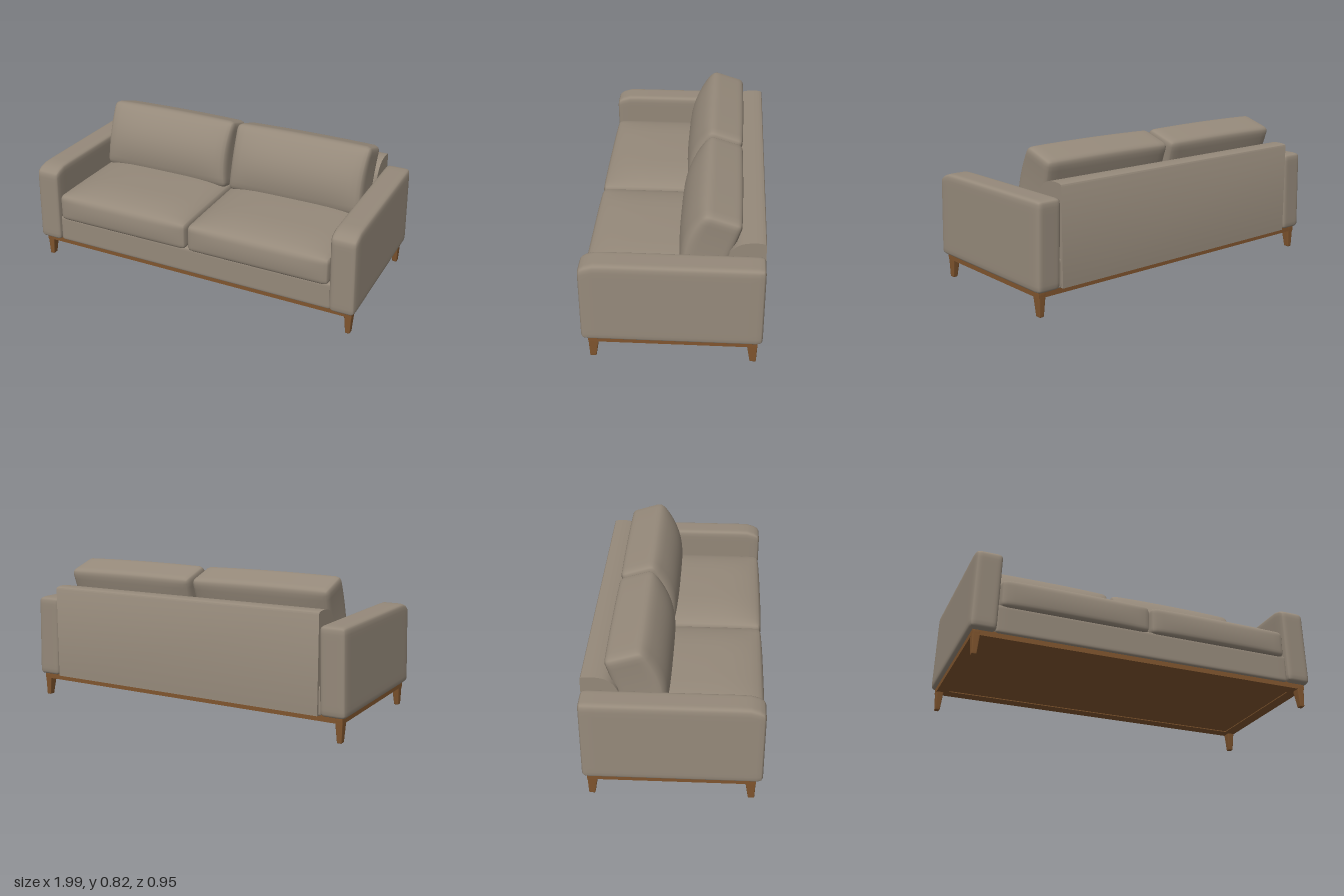
import * as THREE from 'three';
import { mergeVertices, toCreasedNormals } from 'three/addons/utils/BufferGeometryUtils.js';

const fabric = new THREE.MeshStandardMaterial({ color: 0x95897a });
fabric.name = 'taupe fabric';
const wood = new THREE.MeshStandardMaterial({ color: 0x80552e });
wood.name = 'brown wood';

// Box with rounded edges and vertices crowded toward them; rule(p, u) may
// then move each point p, where u is its position from -1 to 1 on each axis.
function softBox(w, h, d, r, rule, n = 16) {
  const geo = new THREE.BoxGeometry(2, 2, 2, n, n, n);
  geo.deleteAttribute('normal');
  geo.deleteAttribute('uv');
  const pos = geo.attributes.position;
  const half = new THREE.Vector3(w / 2, h / 2, d / 2);
  const inner = half.clone().subScalar(r);
  const p = new THREE.Vector3(), core = new THREE.Vector3(), u = new THREE.Vector3();
  const warp = (t) => Math.sin(t * Math.PI / 2);
  for (let i = 0; i < pos.count; i++) {
    p.fromBufferAttribute(pos, i);
    p.set(warp(p.x), warp(p.y), warp(p.z)).multiply(half);
    core.copy(p).clamp(inner.clone().negate(), inner);
    p.sub(core).setLength(r).add(core);
    u.copy(p).divide(half);
    if (rule) rule(p, u);
    pos.setXYZ(i, p.x, p.y, p.z);
  }
  const merged = mergeVertices(geo, 1e-5);
  merged.computeVertexNormals();
  return merged;
}

function add(parent, name, geo, material, x = 0, y = 0, z = 0) {
  const mesh = new THREE.Mesh(geo, material);
  mesh.name = name;
  mesh.position.set(x, y, z);
  parent.add(mesh);
  return mesh;
}

const dome = (a, k = 2) => 1 - Math.abs(a) ** k;

export function createModel() {
  const sofa = new THREE.Group();
  sofa.name = 'sofa';

  // Upholstered base under the seat
  add(sofa, 'seatBase', softBox(1.72, 0.16, 0.91, 0.015), fabric, 0, 0.21, -0.005);

  // Back rest: side profile (z, y) extruded across the width
  const profile = new THREE.Shape();
  profile.moveTo(-0.474, 0.135);
  profile.lineTo(-0.474, 0.66);
  profile.quadraticCurveTo(-0.474, 0.67, -0.46, 0.673);
  profile.quadraticCurveTo(-0.42, 0.68, -0.38, 0.673);
  profile.bezierCurveTo(-0.33, 0.667, -0.305, 0.64, -0.285, 0.6);
  profile.lineTo(-0.25, 0.4);
  profile.lineTo(-0.25, 0.135);
  profile.closePath();
  const backGeo = new THREE.ExtrudeGeometry(profile, { depth: 1.69, bevelEnabled: false, curveSegments: 10 });
  backGeo.rotateY(-Math.PI / 2);
  backGeo.translate(0.845, 0, 0);
  // The rotation sends the profile's first axis to +z and the depth to -x
  add(sofa, 'backRest', toCreasedNormals(backGeo, 0.7), fabric);

  // Wooden plinth: four rails around a slightly recessed panel
  const frame = new THREE.Group();
  frame.name = 'woodFrame';
  sofa.add(frame);
  for (const s of [-1, 1]) {
    add(frame, 'longRail', new THREE.BoxGeometry(1.95, 0.032, 0.07), wood, 0, 0.12, -0.007 + s * 0.407);
    add(frame, 'shortRail', new THREE.BoxGeometry(0.07, 0.032, 0.744), wood, s * 0.94, 0.12, -0.007);
  }
  add(frame, 'bottomPanel', new THREE.BoxGeometry(1.82, 0.024, 0.75), wood, 0, 0.121, -0.007);

  for (const side of [-1, 1]) {
    // Arm: leans in a little toward the top, with a fuller curve at the front
    const arm = softBox(0.145, 0.472, 0.945, 0.027, (p, u) => {
      const top = (u.y + 1) / 2;
      const front = Math.max(0, (p.z - 0.37) / 0.103);
      p.y -= 0.035 * front ** 2 * top ** 2;
      p.x -= side * 0.012 * top;
    });
    add(sofa, 'arm', arm, fabric, side * 0.926, 0.368, -0.002);

    // Seat cushion: crowned on top, gently bulging at the front
    const seat = softBox(0.836, 0.16, 0.755, 0.028, (p, u) => {
      if (u.y > 0) p.y += 0.042 * u.y * dome(u.x, 4) * dome(u.z, 4);
      if (u.z > 0) p.z += 0.01 * u.z * dome(u.x, 4) * dome(u.y);
    });
    add(sofa, 'seatCushion', seat, fabric, side * 0.424, 0.356, 0.088);

    // Back cushion: leaning pillow with a full front face
    const pillow = softBox(0.826, 0.4, 0.205, 0.035, (p, u) => {
      if (u.z > 0) p.z += 0.066 * u.z * dome(u.y) * (0.55 + 0.45 * dome(u.x, 4));
      else p.z += 0.012 * u.z * dome(u.y) * dome(u.x, 4);
      p.y += 0.006 * u.y * dome(u.x);
      p.x -= 0.008 * u.x * dome(u.y);
    });
    add(sofa, 'backCushion', pillow, fabric, side * 0.422, 0.602, -0.199).rotation.x = -0.31;

    // Tapered legs: the inner faces slope toward the outer corner
    for (const end of [-1, 1]) {
      const leg = softBox(0.045, 0.135, 0.06, 0.006, (p, u) => {
        const down = (1 - u.y) / 2;
        p.x = side * (0.0225 - 0.005 * down) + (p.x - side * 0.0225) * (1 - 0.42 * down);
        p.z = end * (0.03 - 0.005 * down) + (p.z - end * 0.03) * (1 - 0.45 * down);
      }, 8);
      add(sofa, 'leg', leg, wood, side * 0.953, 0.0675, -0.007 + end * 0.413);
    }
  }
  return sofa;
}
